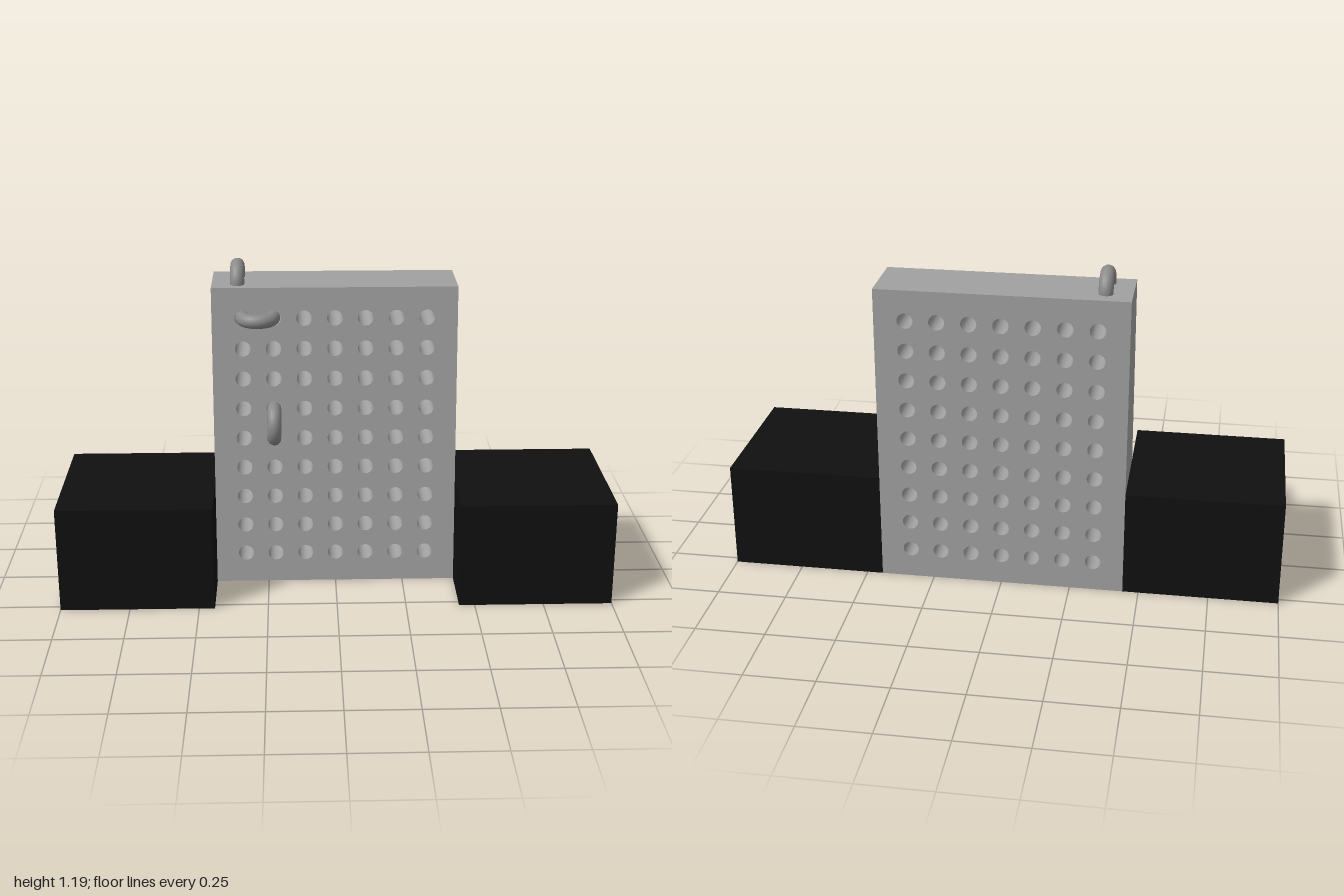
import * as THREE from 'three';

const BACK = -0.277, HEIGHT = 1.11, HALF_W = 0.443, PITCH = 0.111;
const frontZ = (y) => 0.053 - (0.094 * y) / HEIGHT; // sloping front face

export function createModel() {
  const model = new THREE.Group();
  const add = (name, geometry, material, x, y, z) => {
    const mesh = new THREE.Mesh(geometry, material);
    mesh.name = name;
    mesh.position.set(x, y, z);
    model.add(mesh);
    return mesh;
  };

  const panelGrey = new THREE.MeshStandardMaterial({ color: 0xa0a0a0 });
  panelGrey.name = 'panelGrey';
  const ringGrey = new THREE.MeshStandardMaterial({ color: 0x8a8a8a });
  ringGrey.name = 'ringGrey';
  const blockBlack = new THREE.MeshStandardMaterial({ color: 0x101010 });
  blockBlack.name = 'blockBlack';

  // Perforated wedge panel: 7 x 9 through holes, front leaning back
  const outline = new THREE.Shape([
    new THREE.Vector2(-HALF_W, 0), new THREE.Vector2(HALF_W, 0),
    new THREE.Vector2(HALF_W, HEIGHT), new THREE.Vector2(-HALF_W, HEIGHT),
  ]);
  for (let row = 1; row <= 9; row++) {
    for (let col = -3; col <= 3; col++) {
      outline.holes.push(new THREE.Path().absarc(col * PITCH, row * PITCH, 0.028, 0, Math.PI * 2, true));
    }
  }
  const panel = new THREE.ExtrudeGeometry(outline, { depth: 1, bevelEnabled: false, curveSegments: 24 });
  const pos = panel.attributes.position;
  for (let i = 0; i < pos.count; i++) {
    pos.setZ(i, pos.getZ(i) > 0.5 ? frontZ(pos.getY(i)) : BACK);
  }
  panel.computeVertexNormals();
  add('perforatedPanel', panel, panelGrey, 0, 0, 0);

  // Solid blocks on both sides
  const block = new THREE.BoxGeometry(1 - HALF_W, 0.39, -2 * BACK);
  for (const [name, side] of [['leftBlock', 1], ['rightBlock', -1]]) {
    add(name, block, blockBlack, side * (1 + HALF_W) / 2, 0.195, 0);
  }

  // Rings half sunk into the top and the front
  const ring = new THREE.TorusGeometry(0.0555, 0.0255, 20, 48);
  add('topRing', ring, ringGrey, -0.35, HEIGHT, -0.15).rotation.y = Math.PI / 2;
  add('uprightFrontRing', ring, ringGrey, -2 * PITCH, 5.5 * PITCH, 0.002).rotation.y = Math.PI / 2;
  add('levelFrontRing', ring, ringGrey, -2.5 * PITCH, 9 * PITCH + 0.003, -0.035).rotation.x = Math.PI / 2;

  return model;
}
